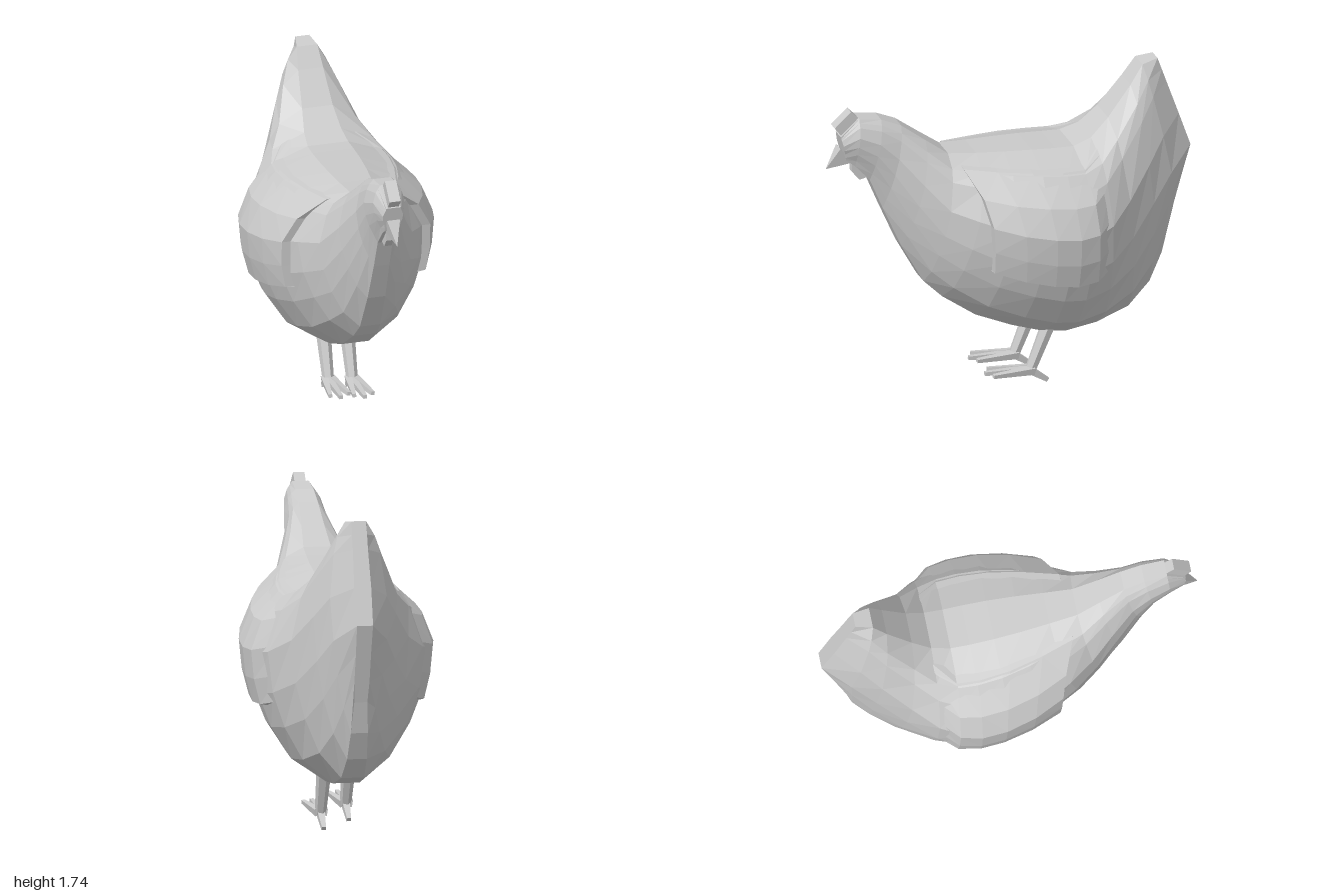
import * as THREE from 'three';

const material = new THREE.MeshStandardMaterial({ color: 0xcccccc, flatShading: true, side: THREE.DoubleSide });

// Height fractions of the points on each body section, and their share of its half width
const HEIGHTS = [0, 0.12, 0.28, 0.45, 0.65, 0.85, 0.93, 1];
const FULLNESS = [0, 0.56, 0.79, 0.94, 1, 0.82, 0.66, 0];

// Sections from face to tail: bottom z, y; top z, y; half width; backward bulge
const SECTIONS = [
  [0.90, 1.43, 0.93, 1.57, 0.055],
  [0.85, 1.39, 0.83, 1.66, 0.085],
  [0.77, 1.30, 0.71, 1.64, 0.105],
  [0.70, 1.13, 0.60, 1.59, 0.12],
  [0.60, 0.90, 0.47, 1.49, 0.18],
  [0.48, 0.68, 0.35, 1.40, 0.25],
  [0.38, 0.58, 0.20, 1.385, 0.33],
  [0.20, 0.45, 0.05, 1.375, 0.41],
  [0, 0.36, -0.10, 1.365, 0.46],
  [-0.17, 0.30, -0.23, 1.355, 0.475],
  [-0.30, 0.28, -0.33, 1.35, 0.465],
  [-0.47, 0.30, -0.43, 1.38, 0.41],
  [-0.65, 0.36, -0.53, 1.47, 0.31],
  [-0.77, 0.48, -0.66, 1.63, 0.22, 0.02],
  [-0.84, 0.63, -0.73, 1.73, 0.15, 0.07],
  [-0.88, 0.80, -0.82, 1.745, 0.045, 0.147],
];

function sectionPoint(i, t) {
  const [zb, yb, zt, yt, half, bulge = 0] = SECTIONS[i];
  const width = (k) => {
    if (k === 0) return 0.03 + 0.1 * half;
    if (k === HEIGHTS.length - 1) return 0.03 + 0.17 * half;
    return Math.max(0.04, half * FULLNESS[k]);
  };
  let k = 0;
  while (k < HEIGHTS.length - 2 && t > HEIGHTS[k + 1]) k++;
  const w = THREE.MathUtils.mapLinear(t, HEIGHTS[k], HEIGHTS[k + 1], width(k), width(k + 1));
  const bow = bulge * Math.min(t / 0.45, (1 - t) / 0.55);
  return new THREE.Vector3(w, yb + (yt - yb) * t, zb + (zt - zb) * t - bow);
}

// Point on the body's left flank at section u (may be fractional) and height fraction t
function flankPoint(u, t) {
  const i = Math.floor(u);
  return sectionPoint(i, t).lerp(sectionPoint(i + 1, t), u - i);
}

function indexedGeometry(points, index) {
  const geometry = new THREE.BufferGeometry().setFromPoints(points);
  geometry.setIndex(index);
  geometry.computeVertexNormals();
  return geometry;
}

function addMesh(parent, name, geometry) {
  const mesh = new THREE.Mesh(geometry, material);
  mesh.name = name;
  parent.add(mesh);
  return mesh;
}

// Closed loft through all the sections
function bodyGeometry() {
  const points = [], index = [], n = HEIGHTS.length * 2;
  SECTIONS.forEach((_, i) => {
    const side = HEIGHTS.map((t) => sectionPoint(i, t));
    const mirrored = side.map((p) => new THREE.Vector3(-p.x, p.y, p.z)).reverse();
    points.push(...side, ...mirrored);
  });
  for (let i = 0; i < SECTIONS.length - 1; i++) {
    for (let j = 0; j < n; j++) {
      const a = i * n + j, b = i * n + (j + 1) % n;
      index.push(a, a + n, b + n, a, b + n, b);
    }
  }
  // Face and tail caps
  const last = (SECTIONS.length - 1) * n;
  for (let j = 0; j < HEIGHTS.length - 1; j++) {
    const k = n - 1 - j;
    index.push(j, j + 1, k - 1, j, k - 1, k);
    index.push(last + j, last + k - 1, last + j + 1, last + j, last + k, last + k - 1);
  }
  return indexedGeometry(points, index);
}

// Folded wing: a raised patch over the flank whose rim sinks into the body
function wingGeometry() {
  // Height fraction and foremost section of each row
  const rows = [[0.36, 6.65], [0.37, 6.65], [0.5, 6.5], [0.65, 6.3], [0.8, 5.95], [0.94, 5.35], [0.96, 5.3]];
  const columns = [0, 0.005, 0.2, 0.4, 0.6, 0.8, 1];
  const points = [], index = [], m = columns.length;
  rows.forEach(([t, start], r) => columns.forEach((s, c) => {
    const rim = r === 0 || r === rows.length - 1 || c === 0 || c === m - 1;
    const p = flankPoint(start + (11.2 - start) * s, t + 0.05 * s * (1 - t));
    p.x += rim ? -0.02 : r === rows.length - 2 ? 0.015 : 0.045 - 0.015 * s;
    points.push(p);
  }));
  for (let r = 0; r < rows.length - 1; r++) {
    for (let c = 0; c < m - 1; c++) {
      const a = r * m + c;
      index.push(a, a + 1, a + m + 1, a, a + m + 1, a + m);
    }
  }
  return indexedGeometry(points, index);
}

// Tapered rod between two points
function addRod(parent, name, from, to, r0, r1, sides = 4) {
  const a = new THREE.Vector3(...from), b = new THREE.Vector3(...to);
  const direction = b.clone().sub(a);
  const geometry = new THREE.CylinderGeometry(r1, r0, direction.length(), sides);
  geometry.rotateY(Math.PI / 4);
  const rod = addMesh(parent, name, geometry);
  rod.position.copy(a).add(b).multiplyScalar(0.5);
  rod.quaternion.setFromUnitVectors(new THREE.Vector3(0, 1, 0), direction.normalize());
}

// Flat part from a side outline of [z, y] points
function plateGeometry(outline, width) {
  const shape = new THREE.Shape(outline.map(([z, y]) => new THREE.Vector2(z, y)));
  return new THREE.ExtrudeGeometry(shape, { depth: width, bevelEnabled: false })
    .translate(0, 0, -width / 2).rotateY(-Math.PI / 2);
}

function createLeg(name) {
  const leg = new THREE.Group();
  leg.name = name;
  addRod(leg, 'shank', [0, 0.34, -0.21], [0, 0.08, -0.105], 0.04, 0.03, 6);
  for (const x of [-0.05, 0, 0.05]) {
    addRod(leg, 'toe', [x * 0.3, 0.085, -0.12], [x, 0.1, 0.145 - Math.abs(x) * 0.6], 0.027, 0.014);
  }
  addRod(leg, 'backToe', [0, 0.085, -0.1], [0, 0.012, -0.2], 0.028, 0.016);
  return leg;
}

export function createModel() {
  const hen = new THREE.Group();
  hen.name = 'hen';
  addMesh(hen, 'body', bodyGeometry());

  // Wings
  addMesh(hen, 'leftWing', wingGeometry());
  addMesh(hen, 'rightWing', wingGeometry()).scale.x = -1;

  // Head details
  const beakPoints = [
    [0, 1.38, 1], [-0.035, 1.5, 0.93], [0.035, 1.5, 0.93], [0.03, 1.41, 0.86], [-0.03, 1.41, 0.86],
  ].map((p) => new THREE.Vector3(...p));
  addMesh(hen, 'beak', indexedGeometry(beakPoints, [0, 2, 1, 0, 3, 2, 0, 4, 3, 0, 1, 4, 1, 2, 3, 1, 3, 4]));
  addMesh(hen, 'comb', plateGeometry([[0.82, 1.65], [0.87, 1.7], [0.96, 1.62], [0.915, 1.56]], 0.06));
  addMesh(hen, 'wattle', plateGeometry([[0.86, 1.44], [0.86, 1.35], [0.82, 1.3], [0.77, 1.31], [0.77, 1.4]], 0.04));

  // Legs, the right one a little ahead
  const leftLeg = createLeg('leftLeg');
  leftLeg.position.x = 0.068;
  const rightLeg = createLeg('rightLeg');
  rightLeg.position.set(-0.072, 0.035, 0.04);
  hen.add(leftLeg, rightLeg);
  return hen;
}
